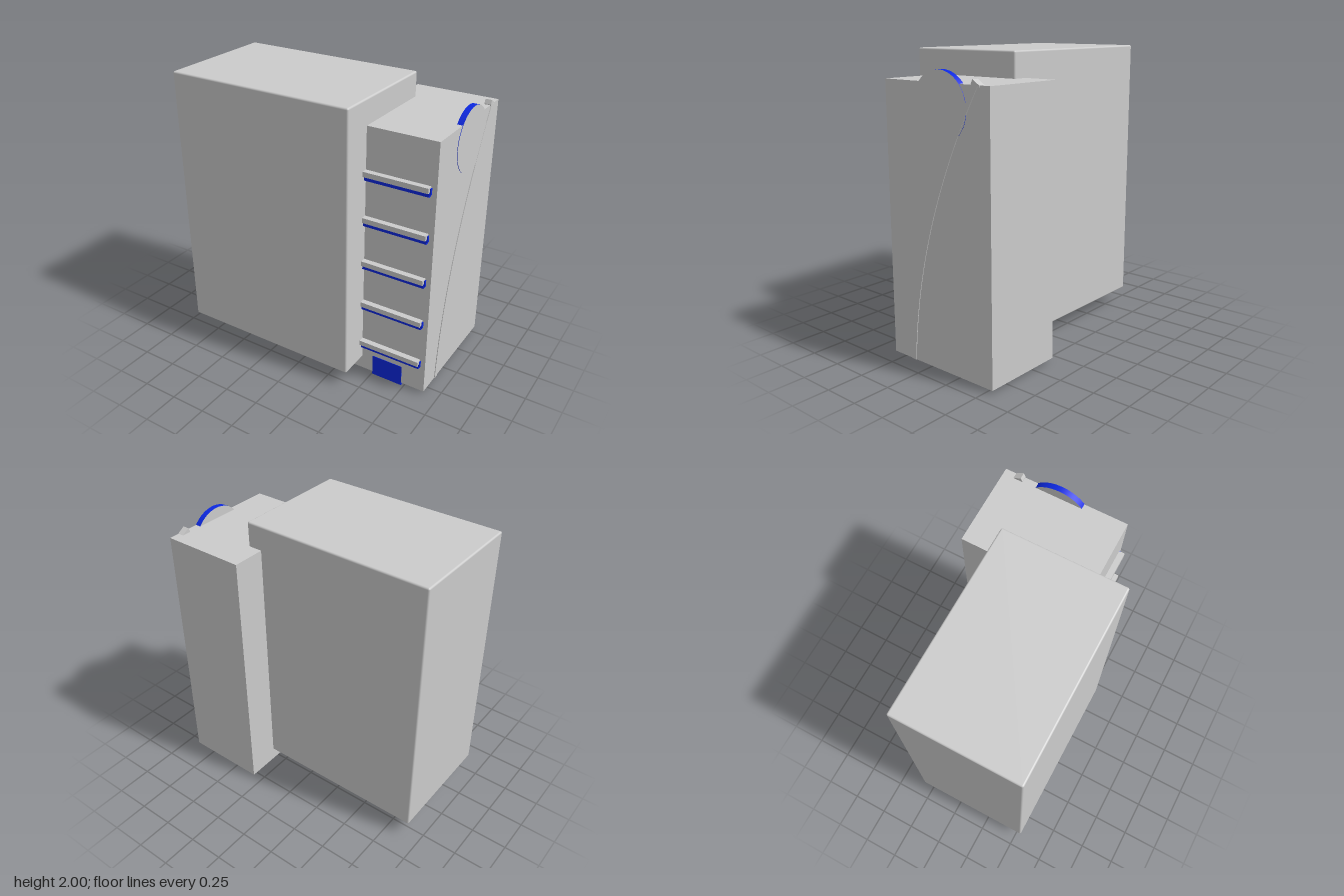
import * as THREE from 'three';
import { RoundedBoxGeometry } from 'three/addons/geometries/RoundedBoxGeometry.js';

export function createModel() {
  const model = new THREE.Group();
  const grey = new THREE.MeshStandardMaterial({ color: 0xcccccc });
  const blue = new THREE.MeshStandardMaterial({ color: 0x0c28e0 });

  const add = (name, geometry, material, parent = model) => {
    const mesh = new THREE.Mesh(geometry, material);
    mesh.name = name;
    parent.add(mesh);
    return mesh;
  };
  // Box given by its limits on each axis
  const box = (name, [x0, x1], [y0, y1], [z0, z1], material, parent, radius = 0) => {
    const size = [x1 - x0, y1 - y0, z1 - z0];
    const geometry = radius ? new RoundedBoxGeometry(...size, 3, radius) : new THREE.BoxGeometry(...size);
    geometry.translate((x0 + x1) / 2, (y0 + y1) / 2, (z0 + z1) / 2);
    return add(name, geometry, material, parent);
  };
  // Side-view shape (z, y) extruded along x from x0 to x1
  const sideExtrude = (name, shape, x0, x1, material, parent) => {
    const geometry = new THREE.ExtrudeGeometry(shape, { depth: x1 - x0, bevelEnabled: false, curveSegments: 32 });
    geometry.rotateY(-Math.PI / 2).translate(x1, 0, 0);
    return add(name, geometry, material, parent);
  };
  const polygon = (points) => new THREE.Shape(points.map(([z, y]) => new THREE.Vector2(z, y)));

  // Main cabinet and the narrower tower beside it
  box('cabinet', [-0.91, 0.42], [0.11, 2], [-0.315, 0.54], grey, model, 0.012);
  box('tower', [0.315, 0.9], [0.02, 1.83], [-0.545, 0.325], grey);

  // Five slots, each with an overhanging hood, a blue front strip and an end cap
  for (let i = 0; i < 5; i++) {
    const slot = new THREE.Group();
    slot.name = `slot${i + 1}`;
    slot.position.y = 0.21 + i * 0.3175;
    model.add(slot);
    const hood = polygon([[0.32, 0.035], [0.35, 0.035], [0.35, 0.03], [0.365, 0.03], [0.365, 0.065], [0.32, 0.065]]);
    sideExtrude('hood', hood, 0.36, 0.862, grey, slot);
    box('slotStrip', [0.36, 0.862], [0, 0.036], [0.32, 0.348], blue, slot);
    box('slotEndCap', [0.86, 0.868], [0.01, 0.055], [0.32, 0.342], blue, slot);
  }

  // Blue foot plate wrapping under the tower
  box('footPlate', [0.505, 0.73], [0, 0.155], [0.262, 0.328], blue);

  // Wheel emerging from the top: blue rim, grey faces
  const wheel = new THREE.CylinderGeometry(0.219, 0.219, 0.04, 64);
  wheel.rotateZ(Math.PI / 2).translate(0.883, 1.686, -0.145);
  add('wheel', wheel, [blue, grey, grey]);

  // Small wedge-shaped stop behind the wheel
  sideExtrude('stop', polygon([[-0.405, 1.82], [-0.405, 1.835], [-0.418, 1.862], [-0.47, 1.83], [-0.47, 1.82]]),
    0.86, 0.904, grey);

  // Thin curved rail on the outer side, sweeping from the foot to the stop
  const rail = new THREE.Shape();
  rail.moveTo(0.16, 0.02);
  rail.quadraticCurveTo(0.11, 0.93, -0.42, 1.83);
  rail.lineTo(-0.46, 1.83);
  rail.quadraticCurveTo(0.07, 0.93, 0.12, 0.02);
  rail.closePath();
  sideExtrude('curvedRail', rail, 0.86, 0.905, grey);

  return model;
}
